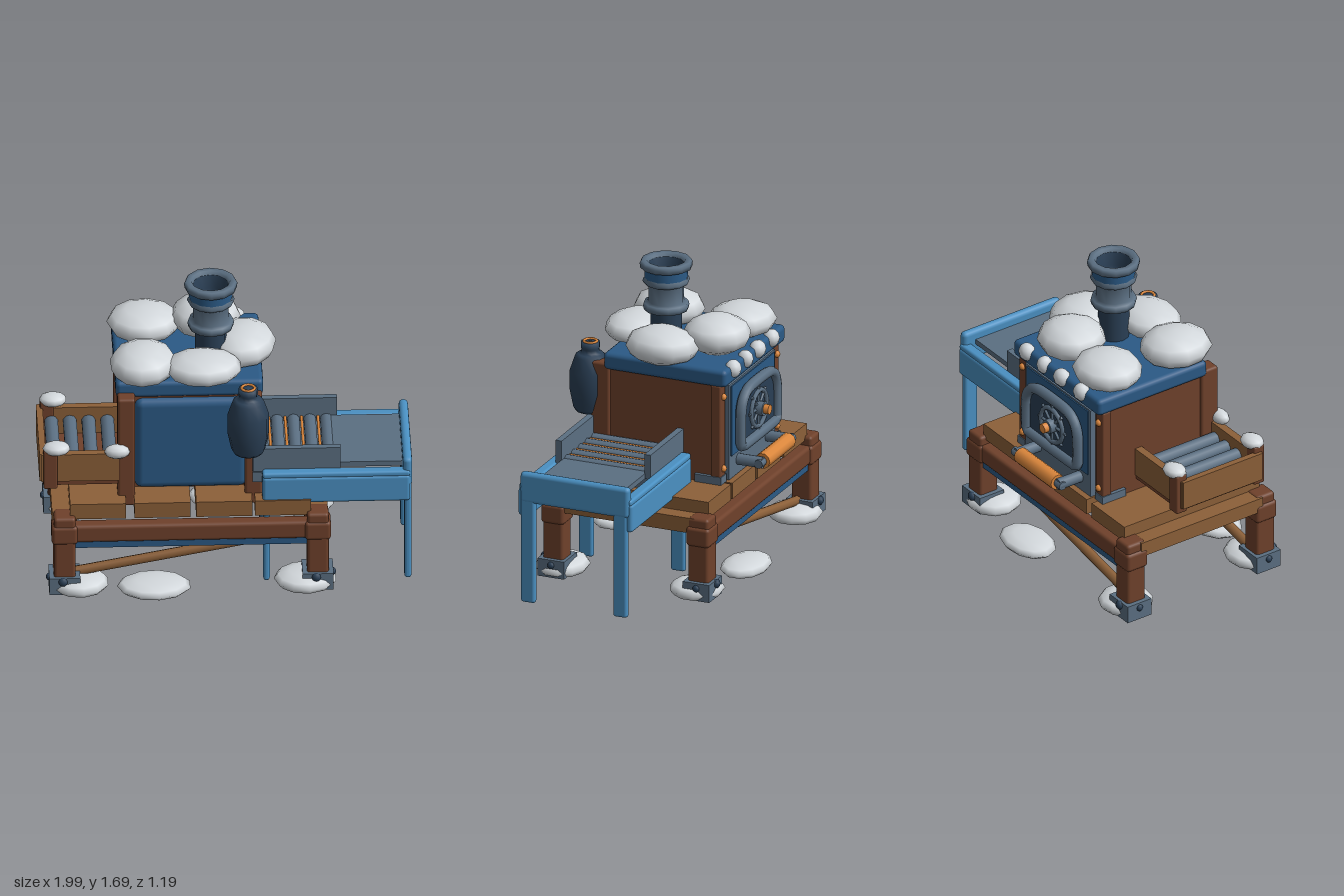
import * as THREE from 'three';
import { RoundedBoxGeometry } from 'three/addons/geometries/RoundedBoxGeometry.js';

const paint = (name, color) => {
  const m = new THREE.MeshStandardMaterial({ color });
  m.name = name;
  return m;
};

export function createModel() {
  const root = new THREE.Group();
  root.name = 'snowyStoveOnBench';
  const redwood = paint('redwood', 0x6f412b);
  const wood = paint('wood', 0x8c6039);
  const deepBlue = paint('deepBlue', 0x2b5a86);
  const skyBlue = paint('skyBlue', 0x4a90c2);
  const navy = paint('navy', 0x2a3f55);
  const steel = paint('steel', 0x5b6f82);
  const copper = paint('copper', 0xdc873c);
  const snow = paint('snow', 0xd3d8dc);

  const add = (name, geo, mat, x = 0, y = 0, z = 0) => {
    const m = new THREE.Mesh(geo, mat);
    m.name = name;
    m.position.set(x, y, z);
    root.add(m);
    return m;
  };
  // Box from its limits, with rounded edges when r > 0
  const box = (name, mat, [x0, x1], [y0, y1], [z0, z1], r = 0) => {
    const s = [x1 - x0, y1 - y0, z1 - z0];
    const geo = r ? new RoundedBoxGeometry(...s, 2, r) : new THREE.BoxGeometry(...s);
    return add(name, geo, mat, (x0 + x1) / 2, (y0 + y1) / 2, (z0 + z1) / 2);
  };
  // Round bar between two points
  const bar = (name, mat, a, b, r, sides = 10) => {
    const p = new THREE.Vector3(...a), q = new THREE.Vector3(...b);
    const m = add(name, new THREE.CylinderGeometry(r, r, p.distanceTo(q), sides), mat);
    m.position.copy(p).add(q).multiplyScalar(0.5);
    m.quaternion.setFromUnitVectors(new THREE.Vector3(0, 1, 0), q.sub(p).normalize());
    return m;
  };
  const lathe = (name, mat, pts, x, z, sides = 12) =>
    add(name, new THREE.LatheGeometry(pts.map(p => new THREE.Vector2(...p)), sides), mat, x, 0, z);
  const blob = (name, mat, x, y, z, rx, ry, rz, turn = 0) => {
    const m = add(name, new THREE.SphereGeometry(1, 11, 6), mat, x, y, z);
    m.scale.set(rx, ry, rz);
    m.rotation.y = turn;
    return m;
  };

  // Bench legs with collars, shoes and bolts
  for (const x of [-0.87, 0.485]) for (const s of [-1, 1]) {
    const z = s * 0.425;
    box('benchLeg', redwood, [x - 0.058, x + 0.058], [0.04, 0.49], [z - 0.06, z + 0.06], 0.018);
    box('legCollar', redwood, [x - 0.07, x + 0.07], [0.33, 0.44], [z - 0.068, z + 0.068], 0.02);
    box('legShoe', steel, [x - 0.083, x + 0.083], [0.03, 0.13], [z - 0.078, z + 0.078]);
    blob('shoeBolt', navy, x - 0.01, 0.11, z + s * 0.08, 0.025, 0.025, 0.02);
    blob('shoeBolt', navy, x + Math.sign(x) * 0.083, 0.1, z, 0.016, 0.02, 0.02);
  }
  // Rails, trim strips and diagonal braces
  for (const s of [-1, 1]) {
    const z = s * 0.44;
    box('benchRail', redwood, [-0.85, 0.47], [0.335, 0.44], [z - 0.04, z + 0.04], 0.02);
    box('railTrim', deepBlue, [-0.82, 0.43], [0.298, 0.337], [z - 0.025, z + 0.025]);
    bar('diagonalBrace', wood, [-0.85, 0.11, s * 0.4], [0.3, 0.33, s * 0.4], 0.027, 8);
  }
  // Deck
  for (const x of [-0.88, 0.485])
    box('sideBeam', wood, [x - 0.055, x + 0.055], [0.4, 0.485], [-0.4, 0.4]);
  for (const x of [-0.69, -0.345, -0.015, 0.3])
    box('deckPlank', wood, [x - 0.15, x + 0.15], [0.465, 0.556], [-0.445, 0.445]);

  // Stove body, front panel, corner posts and roof
  box('stoveBody', redwood, [-0.565, 0.175], [0.55, 1.13], [-0.385, 0.27]);
  box('frontPanel', deepBlue, [-0.49, 0.115], [0.556, 1.11], [0.2, 0.305], 0.045);
  for (const x of [-0.535, 0.145])
    box('frontPost', redwood, [x - 0.047, x + 0.047], [0.49, 1.15], [0.25, 0.36], 0.015);
  for (const x of [-0.545, 0.155]) {
    box('backPost', redwood, [x - 0.035, x + 0.035], [0.556, 1.12], [-0.4, -0.34], 0.01);
    for (const y of [0.64, 1.05]) blob('postBolt', copper, x, y, -0.402, 0.02, 0.02, 0.018);
  }
  for (const x of [-0.55, 0.16])
    box('footBracket', steel, [x - 0.035, x + 0.035], [0.556, 0.6], [-0.405, -0.25]);
  box('roof', deepBlue, [-0.59, 0.2], [1.115, 1.212], [-0.435, 0.285], 0.025);

  // Oven door on the back, with an arched rim
  const cx = -0.19;
  const arch = (w, y0, y1, r) => {
    const s = new THREE.Shape();
    s.moveTo(-w + 0.03, y0).lineTo(w - 0.03, y0);
    s.quadraticCurveTo(w, y0, w, y0 + 0.03).lineTo(w, y1 - r);
    s.quadraticCurveTo(w, y1, w - r, y1).lineTo(-w + r, y1);
    s.quadraticCurveTo(-w, y1, -w, y1 - r).lineTo(-w, y0 + 0.03);
    s.quadraticCurveTo(-w, y0, -w + 0.03, y0);
    return s;
  };
  box('doorFrame', steel, [cx - 0.3, cx + 0.3], [0.56, 1.1], [-0.415, -0.38]);
  box('doorBackplate', deepBlue, [cx - 0.28, cx + 0.28], [0.69, 1.09], [-0.422, -0.41]);
  add('ovenDoor', new THREE.ExtrudeGeometry(arch(0.235, 0.73, 1.04, 0.15),
    { depth: 0.03, bevelEnabled: false }), navy, cx, 0, -0.45);
  const rim = arch(0.235, 0.73, 1.04, 0.15).getPoints(5).slice(0, -1)
    .map(p => new THREE.Vector3(p.x, p.y, 0));
  add('doorRim', new THREE.TubeGeometry(new THREE.CatmullRomCurve3(rim, true), 60, 0.03, 8, true),
    steel, cx, 0, -0.455);
  // Door dial
  add('dialRing', new THREE.TorusGeometry(0.1, 0.014, 6, 20), steel, cx, 0.875, -0.455);
  for (let i = 0; i < 8; i++) {
    const a = i * Math.PI / 4, c = Math.cos(a), s = Math.sin(a);
    bar('dialSpoke', steel, [cx + c * 0.04, 0.875 + s * 0.04, -0.453],
      [cx + c * 0.125, 0.875 + s * 0.125, -0.453], 0.009, 6);
  }
  bar('dialHub', steel, [cx, 0.875, -0.44], [cx, 0.875, -0.49], 0.04);
  bar('dialKnob', copper, [cx, 0.875, -0.48], [cx, 0.875, -0.52], 0.027);
  // Handle below the door
  for (const x of [-0.39, -0.01])
    bar('handleArm', steel, [x, 0.64, -0.4], [x, 0.64, -0.56], 0.032);
  bar('handleRod', steel, [-0.42, 0.64, -0.547], [0.025, 0.64, -0.547], 0.025);
  bar('handleGrip', copper, [-0.37, 0.64, -0.547], [-0.03, 0.64, -0.547], 0.044);

  // Chimney, open at the top
  const px = -0.072, pz = 0.035;
  lathe('chimneyBase', navy, [[0.085, 1.18], [0.085, 1.41]], px, pz);
  lathe('chimneyPipe', steel, [[0.08, 1.4], [0.12, 1.41], [0.125, 1.43], [0.12, 1.45],
    [0.095, 1.455], [0.095, 1.555], [0.12, 1.56], [0.128, 1.575], [0.12, 1.595]], px, pz);
  lathe('chimneyBand', deepBlue, [[0.117, 1.59], [0.117, 1.65]], px, pz);
  lathe('chimneyLip', steel, [[0.117, 1.645], [0.14, 1.65], [0.143, 1.675], [0.135, 1.69],
    [0.105, 1.69], [0.095, 1.67]], px, pz);
  lathe('chimneyInside', navy, [[0.095, 1.67], [0.075, 1.6], [0.07, 1.5], [0, 1.5]], px, pz);

  // Hanging flask
  lathe('flask', navy, [[0, 0.84], [0.08, 0.84], [0.092, 0.86], [0.112, 0.96], [0.112, 1.07],
    [0.085, 1.15], [0.068, 1.165], [0.048, 1.17], [0.048, 1.19], [0.052, 1.2], [0.052, 1.23],
    [0, 1.232]], 0.115, 0.395);
  add('flaskRing', new THREE.TorusGeometry(0.035, 0.008, 6, 12), copper, 0.115, 1.232, 0.395)
    .rotation.x = Math.PI / 2;

  // Wooden roller tray on the right
  for (const z of [-0.155, 0.335])
    box('traySide', wood, [-0.99, -0.55], [0.65, 0.815], [z - 0.022, z + 0.022]);
  box('trayEnd', wood, [-1, -0.965], [0.65, 0.815], [-0.17, 0.35]);
  box('trayFloor', redwood, [-0.97, -0.56], [0.625, 0.655], [-0.17, 0.35]);
  for (const z of [-0.165, 0.345]) {
    box('trayPost', redwood, [-0.98, -0.905], [0.615, 0.85], [z - 0.035, z + 0.035], 0.01);
    blob('traySnow', snow, -0.91, 0.85, z, 0.075, 0.036, 0.06);
  }
  blob('traySnow', snow, -0.585, 0.835, 0.365, 0.07, 0.04, 0.045);
  for (let i = 0; i < 4; i++)
    bar('trayRoller', steel, [-0.92 + i * 0.1, 0.73, -0.135], [-0.92 + i * 0.1, 0.73, 0.315], 0.038);

  // Metal outfeed table on the left: rails, legs and end bar
  for (const z of [-0.2, 0.4]) {
    box('tableRail', skyBlue, [0.19, 0.98], [0.53, 0.69], [z - 0.035, z + 0.035], 0.018);
    box('railLip', skyBlue, [0.19, 0.98], [0.68, 0.715], [z - 0.03, z + 0.03], 0.014);
  }
  for (const z of [-0.165, 0.375]) {
    box('tableLeg', skyBlue, [0.195, 0.23], [0.04, 0.66], [z - 0.042, z + 0.042], 0.015);
    box('tableLeg', skyBlue, [0.95, 0.988], [0.04, 0.68], [z - 0.042, z + 0.042], 0.016);
  }
  box('tableEndBar', skyBlue, [0.942, 0.992], [0.61, 0.785], [-0.22, 0.42], 0.024);
  box('tablePlate', steel, [0.56, 0.96], [0.7, 0.73], [-0.145, 0.345]);
  box('rollerBed', steel, [0.14, 0.58], [0.63, 0.69], [-0.17, 0.37]);
  for (const z of [-0.16, 0.36])
    box('sideGuard', steel, [0.14, 0.61], [0.7, 0.84], [z - 0.018, z + 0.018]);
  for (let i = 0; i < 5; i++) {
    const x = 0.2 + i * 0.088;
    bar('tableRoller', steel, [x, 0.71, -0.14], [x, 0.71, 0.34], 0.034);
    if (i < 4) bar('copperRod', copper, [x + 0.044, 0.725, -0.14], [x + 0.044, 0.725, 0.34], 0.009, 6);
  }

  // Snow on the roof
  [[-0.44, 1.275, 0.18, 0.18, 0.1, 0.2], [-0.42, 1.275, -0.255, 0.2, 0.09, 0.185],
    [-0.09, 1.305, -0.255, 0.19, 0.105, 0.185], [0.1, 1.27, -0.02, 0.18, 0.1, 0.21],
    [-0.12, 1.27, 0.23, 0.21, 0.08, 0.165]]
    .forEach((b, i) => blob('roofSnow', snow, ...b, (i % 3 - 1) * 0.2));
  for (const [x, r] of [[-0.42, 0.05], [-0.24, 0.055], [-0.08, 0.04], [0.08, 0.05]])
    blob('roofEdgeSnow', snow, x, 1.19, -0.425, r, 0.05, 0.045);

  // Snow on the ground
  [[-0.79, 0.42, 0.16, 0.055, 0.14], [-0.39, 0.455, 0.2, 0.045, 0.14],
    [0.42, 0.42, 0.17, 0.055, 0.145], [0.01, -0.47, 0.19, 0.045, 0.13],
    [0.45, -0.38, 0.155, 0.055, 0.15], [-0.79, -0.4, 0.15, 0.055, 0.15]]
    .forEach(([x, z, rx, ry, rz]) => blob('groundSnow', snow, x, ry + 0.005, z, rx, ry, rz));

  root.position.y = -0.005;
  return root;
}
